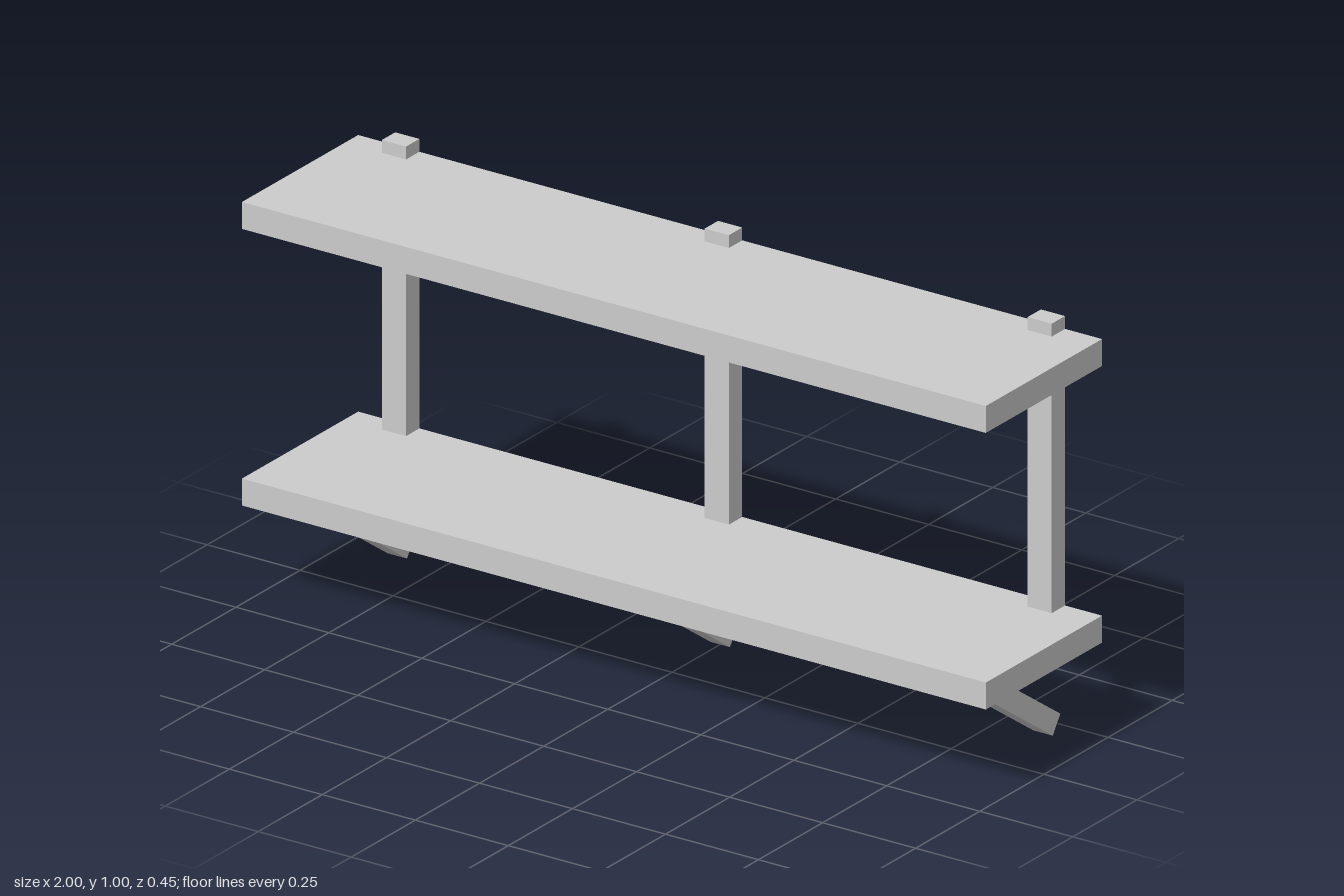
import * as THREE from 'three';

export function createModel() {
  const group = new THREE.Group();
  const material = new THREE.MeshStandardMaterial({ color: 0xcccccc, flatShading: true });

  function addBox(name, size, position) {
    const mesh = new THREE.Mesh(new THREE.BoxGeometry(...size), material);
    mesh.name = name;
    mesh.position.set(...position);
    group.add(mesh);
    return mesh;
  }

  // Two long planks
  addBox('lowerShelf', [2, 0.065, 0.453], [0, 0.2695, 0]);
  addBox('upperShelf', [2, 0.065, 0.453], [0, 0.9365, 0]);

  // Rear posts notched through both planks, each with a slanted brace below
  for (const x of [-0.868, 0, 0.868]) {
    addBox('post', [0.065, 0.797, 0.052], [x, 0.6015, -0.2005]);
    const brace = addBox('brace', [0.052, 0.052, 0.4], [x, 0.1355, -0.0385]);
    brace.rotation.x = -0.607;
  }

  return group;
}
